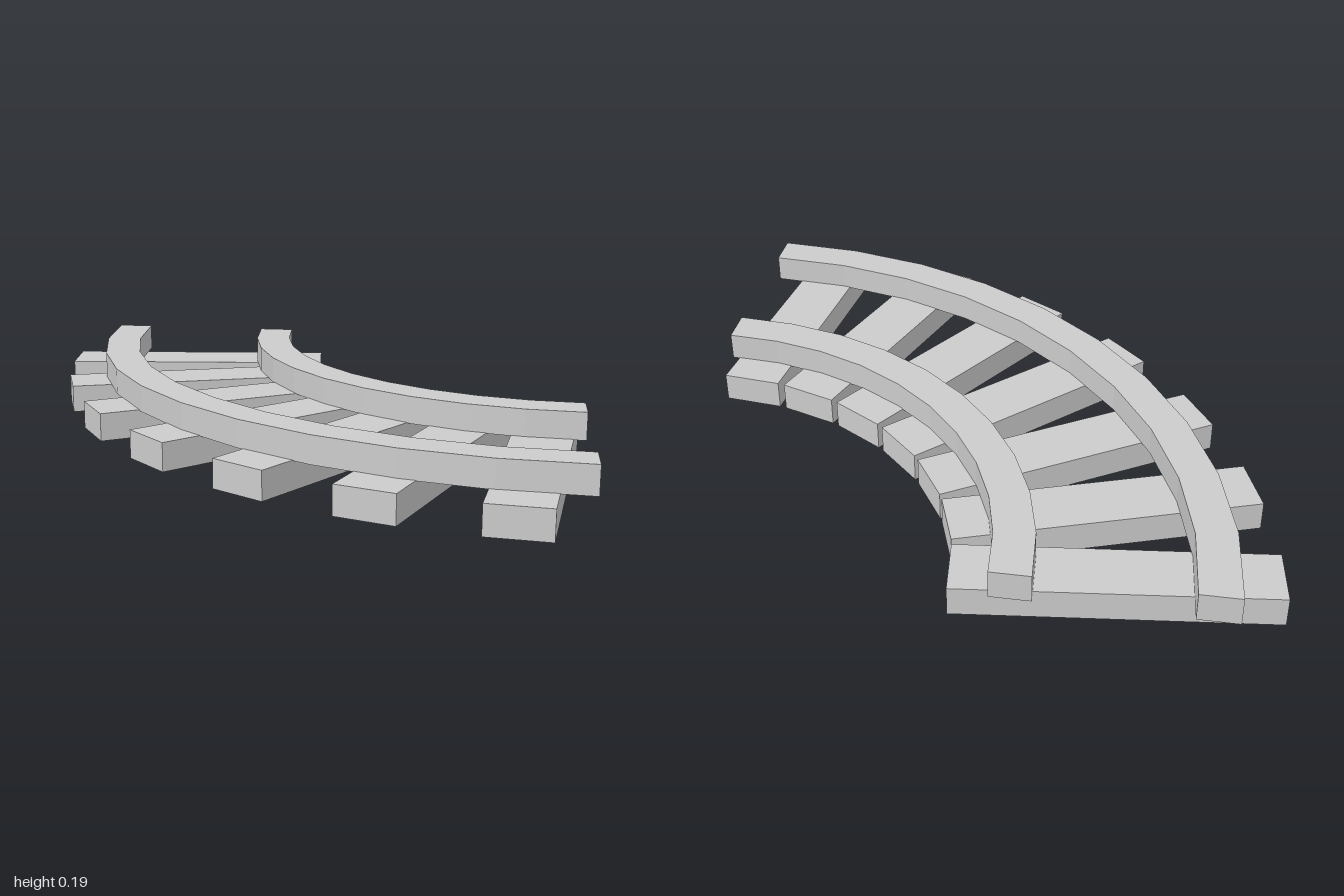
import * as THREE from 'three';

const TIES = 7, SEGMENTS = 10, ARC = Math.PI / 2;
const TIE_HEIGHT = 0.098, RAIL_BOTTOM = 0.096, RAIL_TOP = 0.19;
const CENTRE = { x: 1, z: -1 }; // centre of the curve

const material = new THREE.MeshStandardMaterial({ color: 0xcccccc, flatShading: true });

// Point on the curve at radius r, a = 0 at the back end, a = ARC at the left end
const onArc = (r, a) => ({ x: CENTRE.x - r * Math.cos(a), z: CENTRE.z + r * Math.sin(a) });

// Faceted quarter-ring rail with a rectangular section
function makeRail(name, inner, outer) {
  const points = [];
  for (let i = 0; i <= SEGMENTS; i++) {
    const p = onArc(outer, (i / SEGMENTS) * ARC);
    points.push(new THREE.Vector2(p.x, -p.z));
  }
  for (let i = SEGMENTS; i >= 0; i--) {
    const p = onArc(inner, (i / SEGMENTS) * ARC);
    points.push(new THREE.Vector2(p.x, -p.z));
  }
  const geometry = new THREE.ExtrudeGeometry(new THREE.Shape(points), {
    depth: RAIL_TOP - RAIL_BOTTOM,
    bevelEnabled: false,
  });
  geometry.rotateX(-Math.PI / 2);
  geometry.translate(0, RAIL_BOTTOM, 0);
  const rail = new THREE.Mesh(geometry, material);
  rail.name = name;
  return rail;
}

export function createModel() {
  const track = new THREE.Group();
  track.name = 'curvedTrack';

  // Radial ties spread evenly along the curve
  const tieGeometry = new THREE.BoxGeometry(0.996, TIE_HEIGHT, 0.202);
  for (let i = 0; i < TIES; i++) {
    const angle = ((i + 0.5) / TIES) * ARC;
    const p = onArc(1.503, angle);
    const tie = new THREE.Mesh(tieGeometry, material);
    tie.name = `tie${i + 1}`;
    tie.position.set(p.x, TIE_HEIGHT / 2, p.z);
    tie.rotation.y = angle;
    track.add(tie);
  }

  // Two concentric rails
  track.add(makeRail('innerRail', 1.135, 1.264));
  track.add(makeRail('outerRail', 1.735, 1.864));
  return track;
}
